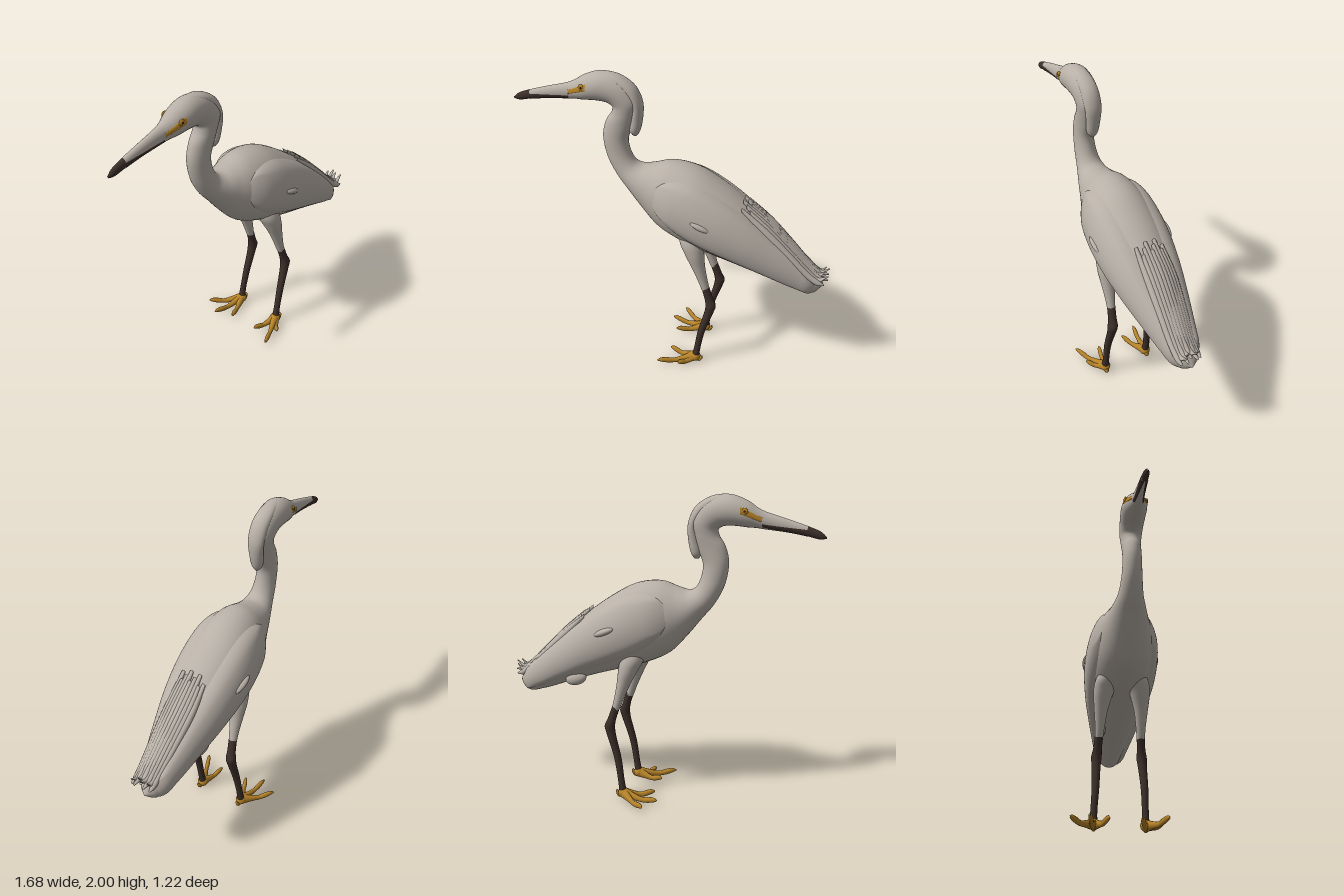
import * as THREE from 'three';
import { mergeVertices } from 'three/addons/utils/BufferGeometryUtils.js';

const mat = (name, color) => {
  const m = new THREE.MeshStandardMaterial({ color });
  m.name = name;
  return m;
};
const deg = Math.PI / 180;

// Surface through oval rings. Station: [backX, backY, bellyX, bellyY, halfWidth, z]
// Angle 0 lies on the back, 90 degrees on the +z side, 180 on the belly.
function makeSurface(stations) {
  const spline = f => new THREE.CatmullRomCurve3(stations.map(f));
  const back = spline(s => new THREE.Vector3(s[0], s[1], s[4]));
  const belly = spline(s => new THREE.Vector3(s[2], s[3], s[5] || 0));
  const last = stations.length - 1;
  return (i, a, lift = 0) => {
    const A = back.getPoint(i / last), B = belly.getPoint(i / last);
    const hx = (A.x - B.x) / 2, hy = (A.y - B.y) / 2;
    const h = Math.hypot(hx, hy) || 1e-5, w = Math.max(A.z, 0.001);
    const c = Math.cos(a), s = Math.sin(a);
    const n = lift / Math.hypot(c * w, s * h);
    return [
      (A.x + B.x) / 2 + hx * c + (hx / h) * c * w * n,
      (A.y + B.y) / 2 + hy * c + (hy / h) * c * w * n,
      B.z + w * s + s * h * n
    ];
  };
}

// Grid geometry over part of a surface
function patch(point, nu, nv) {
  const pos = [], idx = [];
  for (let i = 0; i <= nu; i++)
    for (let j = 0; j <= nv; j++) pos.push(...point(i / nu, j / nv));
  for (let i = 0; i < nu; i++)
    for (let j = 0; j < nv; j++) {
      const a = i * (nv + 1) + j, b = a + nv + 1;
      idx.push(a, b, a + 1, b, b + 1, a + 1);
    }
  let g = new THREE.BufferGeometry();
  g.setAttribute('position', new THREE.Float32BufferAttribute(pos, 3));
  g.setIndex(idx);
  g = mergeVertices(g, 1e-5);
  g.computeVertexNormals();
  return g;
}

const tube = (surf, i0, i1, nu, nv) =>
  patch((u, v) => surf(i0 + (i1 - i0) * u, v * Math.PI * 2), nu, nv);

// Tail, trunk, S-shaped neck, head and bill in one sequence
const bird = makeSurface([
  [0.968, 0.70, 0.97, 0.698, 0.002], [0.93, 0.775, 0.90, 0.635, 0.066],
  [0.82, 0.89, 0.78, 0.66, 0.103], [0.66, 1.04, 0.60, 0.73, 0.15],
  [0.48, 1.20, 0.40, 0.805, 0.195], [0.30, 1.335, 0.20, 0.87, 0.218],
  [0.13, 1.43, 0.03, 0.93, 0.21], [-0.03, 1.455, -0.10, 1.0, 0.176],
  [-0.14, 1.425, -0.21, 1.12, 0.134], [-0.21, 1.41, -0.30, 1.235, 0.104],
  [-0.25, 1.425, -0.375, 1.33, 0.08], [-0.28, 1.47, -0.435, 1.45, 0.067],
  [-0.30, 1.57, -0.458, 1.59, 0.061], [-0.27, 1.66, -0.435, 1.69, 0.061],
  [-0.24, 1.75, -0.395, 1.755, 0.065], [-0.22, 1.84, -0.39, 1.79, 0.071],
  [-0.27, 1.93, -0.42, 1.81, 0.076], [-0.36, 1.985, -0.46, 1.815, 0.08],
  [-0.46, 1.998, -0.51, 1.815, 0.08], [-0.56, 1.965, -0.56, 1.81, 0.068],
  [-0.62, 1.927, -0.62, 1.808, 0.048], [-0.66, 1.908, -0.66, 1.803, 0.037],
  [-0.80, 1.867, -0.80, 1.79, 0.026], [-0.92, 1.83, -0.92, 1.772, 0.021],
  [-0.99, 1.803, -0.99, 1.758, 0.015], [-1.025, 1.774, -1.025, 1.764, 0.003]
]);

export function createModel() {
  const white = mat('pale plumage', 0xb8b0a7);
  const dark = mat('dark brown', 0x3d2f2a);
  const yellow = mat('ochre yellow', 0xb58228);
  const black = mat('pupil black', 0x1a1614);

  const model = new THREE.Group();
  const body = new THREE.Group();
  body.name = 'bird';
  body.rotation.y = 36 * deg;
  model.add(body);
  const add = (name, geo, material, parent = body) => {
    const m = new THREE.Mesh(geo, material);
    m.name = name;
    parent.add(m);
    return m;
  };

  add('bodyNeckHead', tube(bird, 0, 22.95, 150, 40), white);
  add('billTip', tube(bird, 22.95, 25, 20, 24), dark);

  // Thin plate on the side of the head; angles(u) gives its upper and lower edge
  const sidePlate = (side, i0, i1, angles, height) => patch((u, v) => {
    const [a0, a1] = angles(u);
    const t = side > 0 ? v : 1 - v;
    return bird(i0 + (i1 - i0) * u, side * (a0 + (a1 - a0) * t) * deg,
      height * Math.min(1, v * 8, (1 - v) * 8) + 0.0008);
  }, 30, 12);

  for (const side of [1, -1]) {
    const label = side > 0 ? 'left' : 'right';

    // Folded wing: raised shell with a rounded shoulder
    add(label + 'Wing', patch((u, v) => {
      const half = 53 * Math.sqrt(1 - u ** 5) + 2;
      const edge = Math.min(1, Math.min(v, 1 - v) * 4, u * 8, (1 - u) * 6);
      const lift = -0.006 + 0.028 * Math.sin(edge * Math.PI / 2);
      return bird(0.9 + 6.6 * u, (side * 80 + (v * 2 - 1) * half) * deg, lift);
    }, 60, 36), white);

    // Small ruffled tuft on the wing
    const tuft = add(label + 'WingTuft', new THREE.SphereGeometry(1, 20, 12), white);
    tuft.scale.set(0.075, 0.022, 0.03);
    tuft.position.set(side > 0 ? 0.21 : 0.27, 1.155, side * 0.222);
    tuft.rotation.set(0, side * 0.1, -0.4);

    // Bare face skin, mouth line widening toward the tip, and eye
    add(label + 'FaceSkin', sidePlate(side, 18.6, 20.9, u => [64 + 8 * u, 92 + 8 * u], 0.003), yellow);
    add(label + 'MouthLine', sidePlate(side, 20.9, 22.97,
      u => [112 - 42 * u * u, 138 + 34 * u], 0.001), dark);
    const [ex, ey, ez] = bird(18.95, side * 74 * deg);
    const ring = add(label + 'EyeRing', new THREE.SphereGeometry(0.02, 20, 14), yellow);
    ring.position.set(ex, ey, ez);
    ring.scale.z = 0.5;
    const pupil = add(label + 'Pupil', new THREE.SphereGeometry(0.009, 16, 12), black);
    pupil.position.set(ex, ey, ez + side * 0.006);
    pupil.scale.z = 0.6;

    // Leg: dark shank with a knobbed joint, feathered thigh flowing into the belly
    const rings = list => makeSurface(list.map(([x, y, r, z]) => [x + r, y, x - r, y, r, z * side]));
    const ankleZ = side > 0 ? 0.154 : 0.166;
    const shank = rings([
      [0.172, 0.02, 0.028, ankleZ], [0.185, 0.1, 0.022, ankleZ], [0.215, 0.28, 0.024, 0.155],
      [0.262, 0.45, 0.03, 0.149], [0.27, 0.5, 0.034, 0.147], [0.256, 0.55, 0.028, 0.142],
      [0.226, 0.64, 0.027, 0.135]
    ]);
    add(label + 'Shank', tube(shank, 0, 6, 36, 16), dark);
    const thigh = rings([
      [0.232, 0.615, 0.026, 0.136], [0.206, 0.7, 0.033, 0.133], [0.175, 0.8, 0.046, 0.13],
      [0.148, 0.89, 0.064, 0.12], [0.125, 0.97, 0.076, 0.1], [0.12, 1.06, 0.05, 0.08],
      [0.12, 1.09, 0.002, 0.075]
    ]);
    add(label + 'Thigh', tube(thigh, 0, 6, 36, 20), white);

    // Foot: three spread front toes and a short hind toe
    const foot = new THREE.Group();
    foot.name = label + 'Foot';
    foot.position.set(0.174, 0, side * ankleZ);
    body.add(foot);
    const toes = side > 0
      ? [[44, 0.14], [24, 0.265], [-14, 0.19], [172, 0.055]]
      : [[41, 0.24], [10, 0.25], [-22, 0.21], [185, 0.055]];
    for (const [angle, len] of toes) {
      const toe = makeSurface([
        [0.02, 0.06, 0.02, 0.01, 0.012], [0, 0.075, 0, 0.004, 0.028],
        [-len * 0.3, 0.052, -len * 0.3, 0.004, 0.02], [-len * 0.55, 0.038, -len * 0.55, 0.002, 0.013],
        [-len * 0.72, 0.048, -len * 0.72, 0.008, 0.015], [-len * 0.9, 0.054, -len * 0.9, 0.022, 0.011],
        [-len, 0.042, -len, 0.034, 0.003]
      ]);
      add('toe', tube(toe, 0, 6, 24, 12), yellow, foot).rotation.y = side * angle * deg;
    }
    const ankle = add('ankle', new THREE.SphereGeometry(0.036, 16, 12), yellow, foot);
    ankle.position.y = 0.04;
  }

  // Nape crest draped from the crown down the back of the neck
  const crest = makeSurface([
    [-0.245, 1.605, -0.275, 1.61, 0.012], [-0.225, 1.635, -0.29, 1.64, 0.034],
    [-0.205, 1.72, -0.28, 1.715, 0.045], [-0.203, 1.82, -0.27, 1.80, 0.053],
    [-0.246, 1.92, -0.31, 1.87, 0.056], [-0.338, 1.983, -0.37, 1.93, 0.05],
    [-0.43, 2.0, -0.44, 1.97, 0.03], [-0.48, 1.994, -0.48, 1.985, 0.004]
  ]);
  add('crest', tube(crest, 0, 7, 48, 24), white);

  // Back plumes: overlapping strips converging to upturned ragged tips
  for (let k = -4; k <= 4; k++) {
    const z = k * 0.02, zTail = 0.02 + k * 0.016, drop = z * z * 4;
    const tip = 0.03 * ((k * k * 3 + k + 20) % 4) / 3;
    const start = 0.43 + 0.05 * ((k + 8) % 3) / 2;
    const flick = k % 2 ? 0.835 : 0.785;
    const startY = 1.252 + (0.45 - start) * 0.7;
    const plume = makeSurface([
      [0.975 + tip, flick, 0.975 + tip, flick - 0.006, 0.005, zTail],
      [0.94, 0.81, 0.93, 0.775, 0.017, zTail], [0.88, 0.855, 0.86, 0.82, 0.021, zTail],
      [0.75, 0.985, 0.73, 0.945, 0.024, (z + zTail) / 2], [0.60, 1.13, 0.58, 1.08, 0.024, z],
      [start, startY, start, startY - 0.025, 0.012, z]
    ]);
    add('backPlume', tube(plume, 0, 5, 30, 10), white).position.y = -drop;
  }

  // Loose feather lobe under the right wing
  const lobe = add('bellyFeatherLobe', new THREE.SphereGeometry(1, 20, 14), white);
  lobe.scale.set(0.075, 0.045, 0.035);
  lobe.position.set(0.52, 0.785, -0.1);
  lobe.rotation.z = -0.3;

  return model;
}
